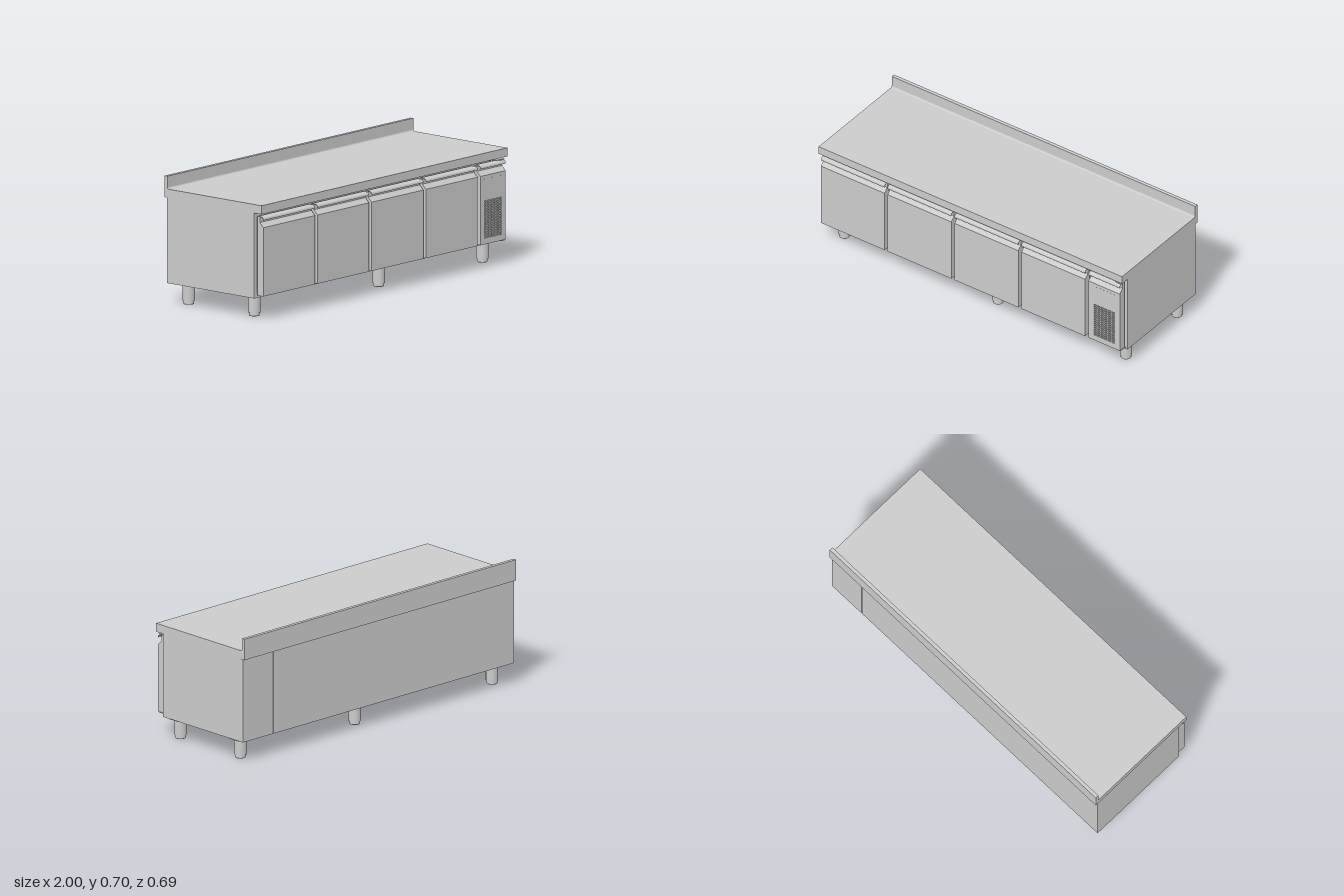
import * as THREE from 'three';

const steel = new THREE.MeshStandardMaterial({ color: 0xcccccc });
const sheet = new THREE.MeshStandardMaterial({ color: 0xcccccc, side: THREE.DoubleSide });

function add(parent, name, geometry, material = steel) {
  const mesh = new THREE.Mesh(geometry, material);
  mesh.name = name;
  parent.add(mesh);
  return mesh;
}

// Box given by its limits on each axis
function box(parent, name, [x0, x1], [y0, y1], [z0, z1]) {
  const mesh = add(parent, name, new THREE.BoxGeometry(x1 - x0, y1 - y0, z1 - z0));
  mesh.position.set((x0 + x1) / 2, (y0 + y1) / 2, (z0 + z1) / 2);
  return mesh;
}

// Sweep a (z, y) profile along x
function sweep(parent, name, shape, x0, x1) {
  const geo = new THREE.ExtrudeGeometry(shape, { depth: x1 - x0, bevelEnabled: false, curveSegments: 8 });
  geo.rotateY(-Math.PI / 2).translate(x1, 0, 0);
  return add(parent, name, geo);
}

const polygon = (points) => new THREE.Shape(points.map(([a, b]) => new THREE.Vector2(a, b)));

// Curved pull lip along the top edge of a front
function pullLip(parent, x0, x1) {
  const s = new THREE.Shape();
  s.moveTo(0.312, 0.5605);
  s.lineTo(0.329, 0.5605);
  s.absarc(0.329, 0.5475, 0.013, Math.PI / 2, 0, true);
  s.lineTo(0.342, 0.544);
  s.lineTo(0.3435, 0.544);
  s.lineTo(0.3435, 0.5475);
  s.absarc(0.329, 0.5475, 0.0145, 0, Math.PI / 2, false);
  s.lineTo(0.312, 0.562);
  sweep(parent, 'pullLip', s, x0, x1);
}

function drawer(x0, x1) {
  const g = new THREE.Group();
  g.name = 'drawer';
  sweep(g, 'drawerFront', polygon([
    [0.302, 0.13], [0.343, 0.13], [0.343, 0.505], [0.318, 0.53], [0.318, 0.562], [0.302, 0.562],
  ]), x0, x1);
  pullLip(g, x0, x1);
  box(g, 'gasket', [x0 + 0.008, x1 - 0.008], [0.138, 0.555], [0.289, 0.303]);
  return g;
}

// Narrow machine compartment door with a perforated vent
function ventDoor(x0, x1) {
  const g = new THREE.Group();
  g.name = 'ventDoor';
  sweep(g, 'doorCore', polygon([
    [0.302, 0.13], [0.337, 0.13], [0.337, 0.505], [0.343, 0.505], [0.318, 0.53], [0.318, 0.562], [0.302, 0.562],
  ]), x0, x1);

  const face = polygon([[x0, 0.13], [x1, 0.13], [x1, 0.505], [x0, 0.505]]);
  const cols = 6, rows = 15, left = 0.811, bottom = 0.16, w = 0.142, h = 0.21;
  for (let i = 0; i < cols; i++) {
    for (let j = 0; j < rows; j++) {
      const a = left + (w * (i + 0.14)) / cols, b = left + (w * (i + 0.86)) / cols;
      const c = bottom + (h * (j + 0.2)) / rows, d = bottom + (h * (j + 0.8)) / rows;
      face.holes.push(polygon([[a, c], [a, d], [b, d], [b, c]]));
    }
  }
  const plate = new THREE.ExtrudeGeometry(face, { depth: 0.006, bevelEnabled: false });
  add(g, 'ventPlate', plate.translate(0, 0, 0.337));
  box(g, 'displayEdge', [0.811, 0.953], [0.484, 0.486], [0.342, 0.3436]);
  pullLip(g, x0, x1);
  box(g, 'gasket', [x0 + 0.008, x1 - 0.008], [0.138, 0.555], [0.289, 0.303]);
  return g;
}

// Flat hinge bracket, upper or lower
function hinge(y, dir) {
  const g = new THREE.Group();
  g.name = 'hinge';
  const leaf = polygon([[0.985, -0.289], [0.985, -0.335], [0.955, -0.335], [0.9, -0.302], [0.9, -0.289]]);
  const geo = new THREE.ExtrudeGeometry(leaf, { depth: 0.003, bevelEnabled: false });
  geo.rotateX(-Math.PI / 2);
  // the rotation turns the shape's -y into +z
  add(g, 'hingeLeaf', geo, sheet).position.y = y - 0.0015;
  const flange = [y, y + dir * 0.01].sort((a, b) => a - b);
  box(g, 'hingeFlange', [0.9, 0.985], flange, [0.289, 0.297]);
  const pin = add(g, 'hingePin', new THREE.CylinderGeometry(0.006, 0.006, 0.008, 16));
  pin.position.set(0.966, y - dir * 0.002, 0.322);
  return g;
}

function leg(x, z) {
  const g = new THREE.Group();
  g.name = 'leg';
  const profile = [[0, 0], [0.027, 0], [0.029, 0.002], [0.029, 0.018], [0.033, 0.018], [0.033, 0.107], [0, 0.107]];
  // each straight run gets its own lathe so edges stay crisp
  for (let i = 0; i < profile.length - 1; i++) {
    const run = [profile[i], profile[i + 1]].map(([r, y]) => new THREE.Vector2(r, y));
    add(g, 'legTube', new THREE.LatheGeometry(run, 32));
  }
  box(g, 'legPlate', [-0.048, 0.048], [0.106, 0.1145], [-0.039, 0.039]);
  g.position.set(x, 0, z);
  return g;
}

export function createModel() {
  const model = new THREE.Group();
  model.name = 'refrigeratedCounter';

  // Worktop with coved rear upstand
  const top = new THREE.Shape();
  top.moveTo(-0.342, 0.58);
  top.lineTo(0.343, 0.58);
  top.lineTo(0.343, 0.627);
  top.lineTo(-0.312, 0.627);
  top.absarc(-0.312, 0.637, 0.01, -Math.PI / 2, -Math.PI, true);
  top.lineTo(-0.322, 0.697);
  top.lineTo(-0.342, 0.697);
  sweep(model, 'worktop', top, -1, 1);

  // Cabinet body with its rear cover panels, split at the machine compartment
  box(model, 'cabinet', [-0.998, 0.998], [0.114, 0.58], [-0.313, 0.29]);
  box(model, 'rearPanel', [-0.998, 0.774], [0.114, 0.58], [-0.327, -0.313]);
  box(model, 'machineRearPanel', [0.777, 0.998], [0.114, 0.578], [-0.327, -0.313]);

  // Fronts
  for (const x of [-0.985, -0.545, -0.104, 0.337]) model.add(drawer(x, x + 0.42));
  model.add(ventDoor(0.78, 0.985));
  model.add(hinge(0.567, 1), hinge(0.126, -1));

  // Legs
  for (const x of [-0.917, 0.095, 0.937]) {
    for (const z of [0.22, -0.243]) model.add(leg(x, z));
  }
  return model;
}
